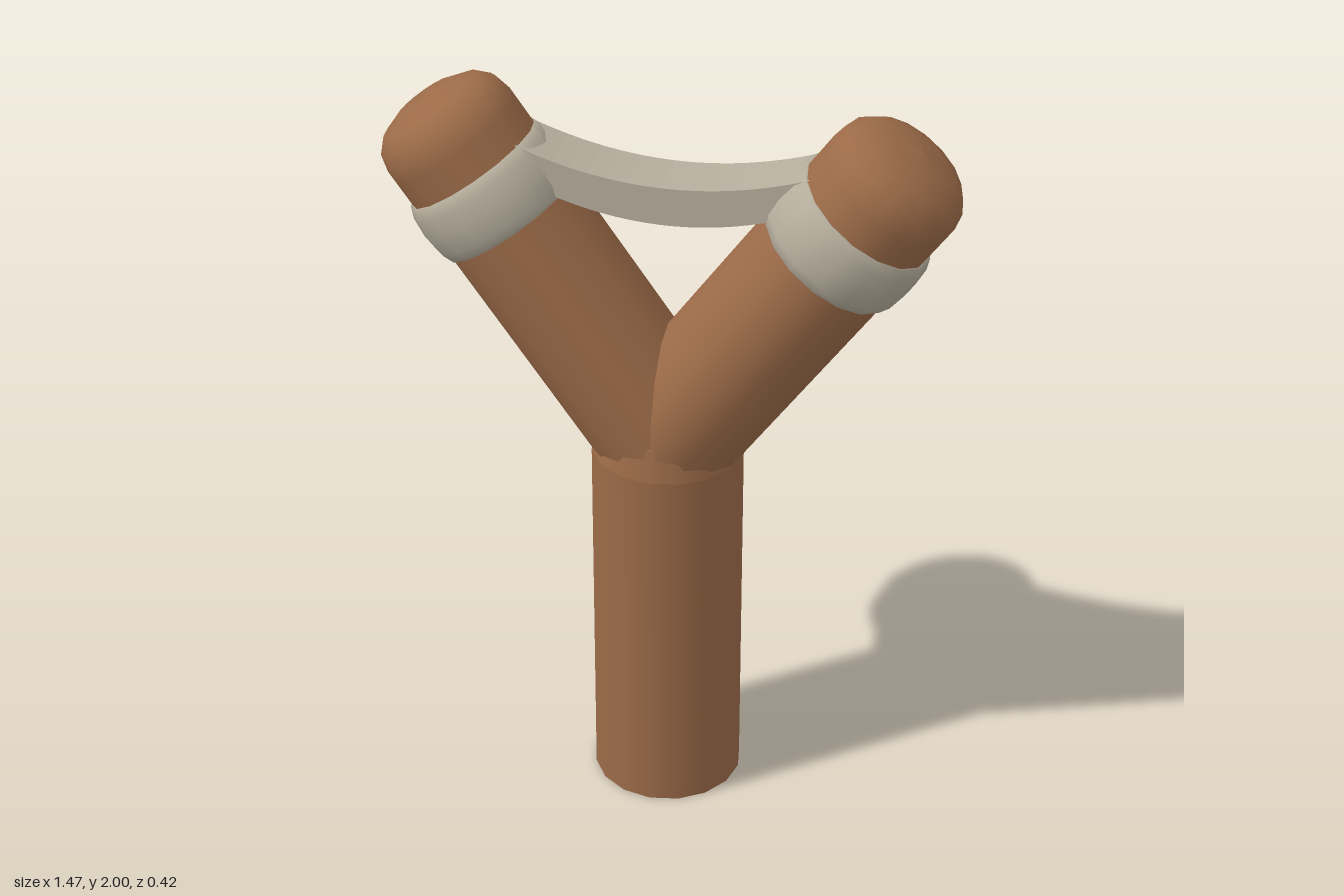
import * as THREE from 'three';

const SIDES = 16;
const TILT = Math.atan2(0.58, 0.815); // lean of each arm from vertical

const wood = new THREE.MeshStandardMaterial({ color: 0x9c6b48 });
const rubber = new THREE.MeshStandardMaterial({ color: 0xb5ad9c });

function add(parent, name, geometry, material) {
  const mesh = new THREE.Mesh(geometry, material);
  mesh.name = name;
  parent.add(mesh);
  return mesh;
}

// Lathe from [radius, height] pairs, listed bottom to top
function lathe(points) {
  return new THREE.LatheGeometry(points.map(([r, y]) => new THREE.Vector2(r, y)), SIDES);
}

// One leaning arm with a rounded tip and a bulging wrapped band
function createArm(side) {
  const arm = new THREE.Group();
  arm.name = side > 0 ? 'leftArm' : 'rightArm';
  arm.position.y = 1.06;
  arm.rotation.z = -side * TILT;

  add(arm, 'branch', lathe([
    [0, 0], [0.186, 0], [0.186, 0.02], [0.186, 0.95], [0.186, 0.975], [0.175, 1.02],
    [0.142, 1.055], [0.08, 1.079], [0, 1.086],
  ]), wood);

  add(arm, 'band', lathe([
    [0.18, 0.705], [0.192, 0.705], [0.204, 0.735], [0.209, 0.787],
    [0.204, 0.84], [0.192, 0.87], [0.18, 0.87],
  ]), rubber);
  return arm;
}

// Sagging strap whose ends are buried in the arms
function createStrap() {
  const shape = new THREE.Shape();
  shape.moveTo(-0.37, 1.872);
  shape.lineTo(-0.3, 1.755);
  shape.quadraticCurveTo(0, 1.65, 0.3, 1.755);
  shape.lineTo(0.37, 1.872);
  shape.quadraticCurveTo(0, 1.735, -0.37, 1.872);
  const geometry = new THREE.ExtrudeGeometry(shape, {
    depth: 0.155, bevelEnabled: false, curveSegments: 16,
  });
  return geometry.translate(0, 0, -0.0775);
}

export function createModel() {
  const model = new THREE.Group();
  model.name = 'slingshot';

  // Handle and the short taper where it merges into the fork
  add(model, 'handle', new THREE.CylinderGeometry(0.2, 0.2, 1.02, SIDES), wood).position.y = 0.51;
  add(model, 'forkCollar', new THREE.CylinderGeometry(0.184, 0.2, 0.09, SIDES), wood).position.y = 1.065;

  for (const side of [1, -1]) model.add(createArm(side));
  add(model, 'strap', createStrap(), rubber);
  return model;
}
